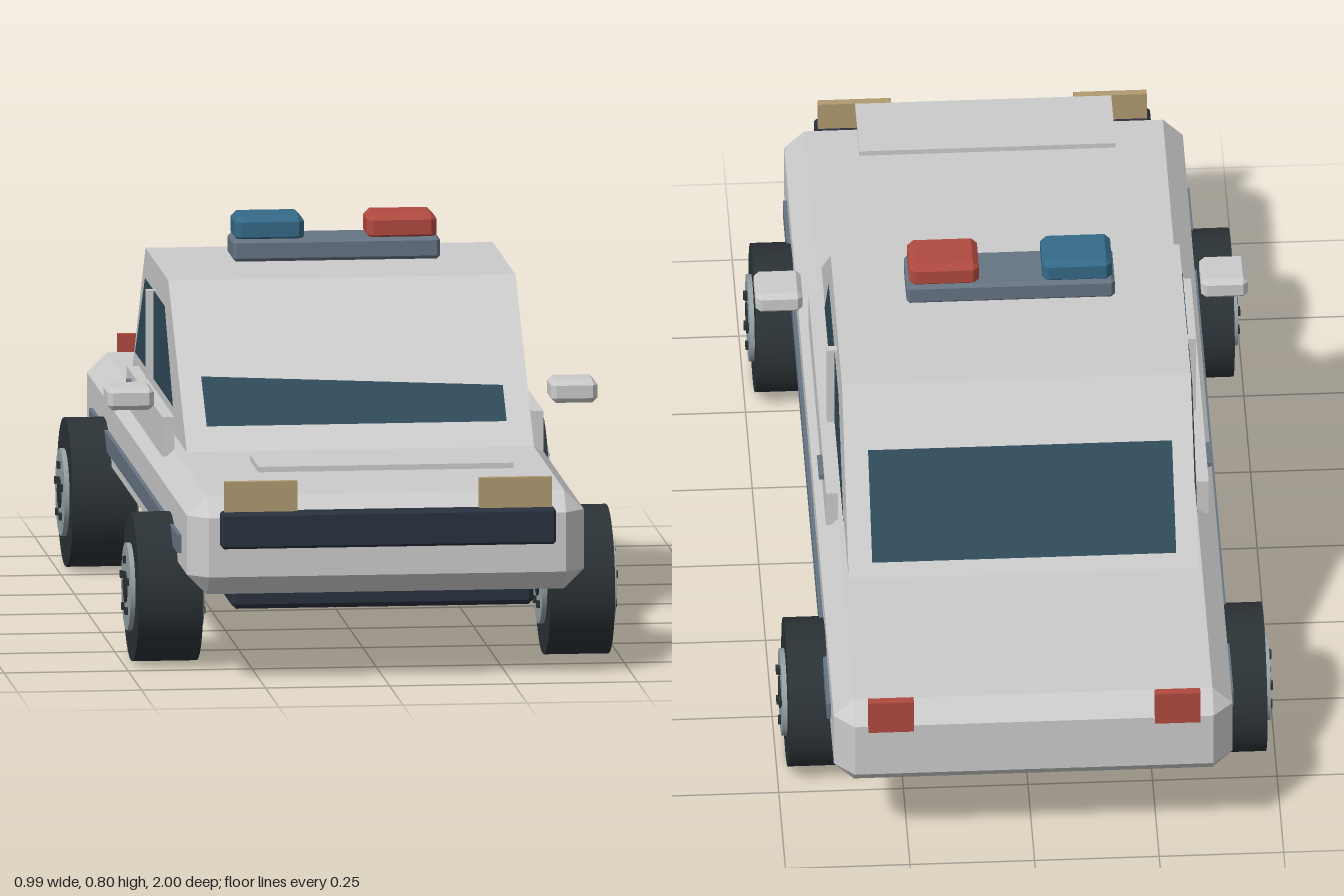
import * as THREE from 'three';
import { ConvexGeometry } from 'three/addons/geometries/ConvexGeometry.js';

const mat = (color, extra = {}) => new THREE.MeshStandardMaterial({ color, ...extra });
const paint = mat(0xcccccc);
const dark = mat(0x29313d);
const rubber = mat(0x2b3235);
const hubMat = mat(0x95a1a5);
const trim = mat(0x667483);
const glass = mat(0x2f4a58, { side: THREE.DoubleSide });
const red = mat(0xb04a40);
const blue = mat(0x356a88);
const amber = mat(0xb09a70);

// Box given by its limits [min, max] on each axis; bevel b chamfers every edge.
function block(name, material, [x0, x1], [y0, y1], [z0, z1], b = 0) {
  const h = [(x1 - x0) / 2, (y1 - y0) / 2, (z1 - z0) / 2];
  let geometry;
  if (b > 0) {
    const pts = [];
    for (const sx of [-1, 1]) for (const sy of [-1, 1]) for (const sz of [-1, 1])
      for (let full = 0; full < 3; full++) {
        const c = h.map((v, i) => (i === full ? v : v - b));
        pts.push(new THREE.Vector3(sx * c[0], sy * c[1], sz * c[2]));
      }
    geometry = new ConvexGeometry(pts);
  } else {
    geometry = new THREE.BoxGeometry(h[0] * 2, h[1] * 2, h[2] * 2);
  }
  const mesh = new THREE.Mesh(geometry, material);
  mesh.name = name;
  mesh.position.set((x0 + x1) / 2, (y0 + y1) / 2, (z0 + z1) / 2);
  return mesh;
}

// Flat pane from four corners in order.
function pane(name, corners) {
  const geometry = new THREE.BufferGeometry();
  geometry.setAttribute('position', new THREE.Float32BufferAttribute(corners.flat(), 3));
  geometry.setIndex([0, 1, 2, 0, 2, 3]);
  geometry.computeVertexNormals();
  const mesh = new THREE.Mesh(geometry, glass);
  mesh.name = name;
  return mesh;
}

// Cylinder lying along x.
function disc(name, material, radius, width, segments) {
  const geometry = new THREE.CylinderGeometry(radius, radius, width, segments).rotateZ(Math.PI / 2);
  const mesh = new THREE.Mesh(geometry, material);
  mesh.name = name;
  return mesh;
}

function wheel(name) {
  const g = new THREE.Group();
  g.name = name;
  g.add(disc('tyre', rubber, 0.15, 0.13, 32));
  g.add(disc('hub', hubMat, 0.088, 0.15, 32));
  g.add(disc('hubCap', rubber, 0.032, 0.156, 16));
  // five wheel nuts, showing on both faces
  for (let i = 0; i < 5; i++) {
    const a = Math.PI / 2 + (i * Math.PI * 2) / 5;
    const nut = block('wheelNut', rubber, [-0.081, 0.081], [-0.007, 0.007], [-0.007, 0.007]);
    nut.position.set(0, 0.055 * Math.sin(a), 0.055 * Math.cos(a));
    g.add(nut);
  }
  return g;
}

// Side profile extruded across the full cabin width.
function cabin() {
  const s = new THREE.Shape();
  [[0.455, 0.395], [0.11, 0.69], [-0.315, 0.69], [-0.57, 0.395]].forEach(([z, y], i) =>
    i ? s.lineTo(-z, y) : s.moveTo(-z, y));
  const geometry = new THREE.ExtrudeGeometry(s, { depth: 0.7, bevelEnabled: false });
  geometry.translate(0, 0, -0.35).rotateY(Math.PI / 2);
  const mesh = new THREE.Mesh(geometry, paint);
  mesh.name = 'cabin';
  return mesh;
}

export function createModel() {
  const car = new THREE.Group();
  car.name = 'patrolCar';

  // body shell
  car.add(block('body', paint, [-0.4, 0.4], [0.18, 0.38], [-0.985, 0.962], 0.04));
  car.add(block('chassis', dark, [-0.305, 0.305], [0.14, 0.2], [-0.893, 0.872], 0.01));
  car.add(cabin());
  car.add(block('hoodPanel', paint, [-0.257, 0.257], [0.427, 0.438], [0.775, 0.932]));
  car.add(block('frontBumper', dark, [-0.338, 0.336], [0.282, 0.354], [0.955, 1], 0.005));

  // windscreen and rear window
  car.add(pane('windscreen', [
    [-0.305, 0.44, 0.412], [0.3, 0.44, 0.408], [0.3, 0.502, 0.334], [-0.305, 0.525, 0.307]]));
  car.add(pane('rearWindow', [
    [0.303, 0.437, -0.573], [-0.307, 0.437, -0.573], [-0.307, 0.6, -0.415], [0.303, 0.6, -0.415]]));

  // parts on both sides
  for (const s of [-1, 1]) {
    const side = s > 0 ? 'left' : 'right';
    const sx = (a, b) => (s > 0 ? [a, b] : [-b, -a]);

    car.add(pane(side + 'FrontWindow', [
      [s * 0.355, 0.455, 0.245], [s * 0.355, 0.455, -0.115],
      [s * 0.355, 0.635, -0.115], [s * 0.355, 0.635, 0.09]]));
    car.add(pane(side + 'BackWindow', [
      [s * 0.355, 0.455, -0.13], [s * 0.355, 0.455, -0.465],
      [s * 0.355, 0.635, -0.278], [s * 0.355, 0.635, -0.13]]));
    car.add(block(side + 'DoorPillar', paint, sx(0.345, 0.37), [0.455, 0.635], [-0.13, -0.115]));
    car.add(block(side + 'DoorPanel', paint, sx(0.36, 0.384), [0.365, 0.445], [-0.352, 0.315]));
    car.add(block(side + 'DoorHandle', trim, sx(0.38, 0.394), [0.422, 0.432], [-0.275, -0.207]));
    car.add(block(side + 'SideStrip', trim, sx(0.395, 0.408), [0.248, 0.285], [-0.835, 0.82]));
    car.add(block(side + 'Mirror', paint, sx(0.4, 0.494), [0.459, 0.505], [0.223, 0.315], 0.01));
    car.add(block(side + 'Headlight', amber, sx(0.183, 0.33), [0.35, 0.415], [0.962, 0.977]));
    car.add(block(side + 'TailLight', red, sx(0.242, 0.333), [0.336, 0.41], [-1, -0.983]));

    for (const [end, z] of [['Front', 0.615], ['Rear', -0.615]]) {
      const w = wheel(side + end + 'Wheel');
      w.position.set(s * 0.415, 0.15, z);
      car.add(w);
    }
  }

  // roof light bar
  car.add(block('lightBar', trim, [-0.21, 0.208], [0.711, 0.756], [-0.087, 0.025], 0.007));
  car.add(block('blueBeacon', blue, [-0.205, -0.065], [0.748, 0.802], [-0.083, 0.019], 0.012));
  car.add(block('redBeacon', red, [0.062, 0.202], [0.748, 0.802], [-0.083, 0.019], 0.012));

  return car;
}
